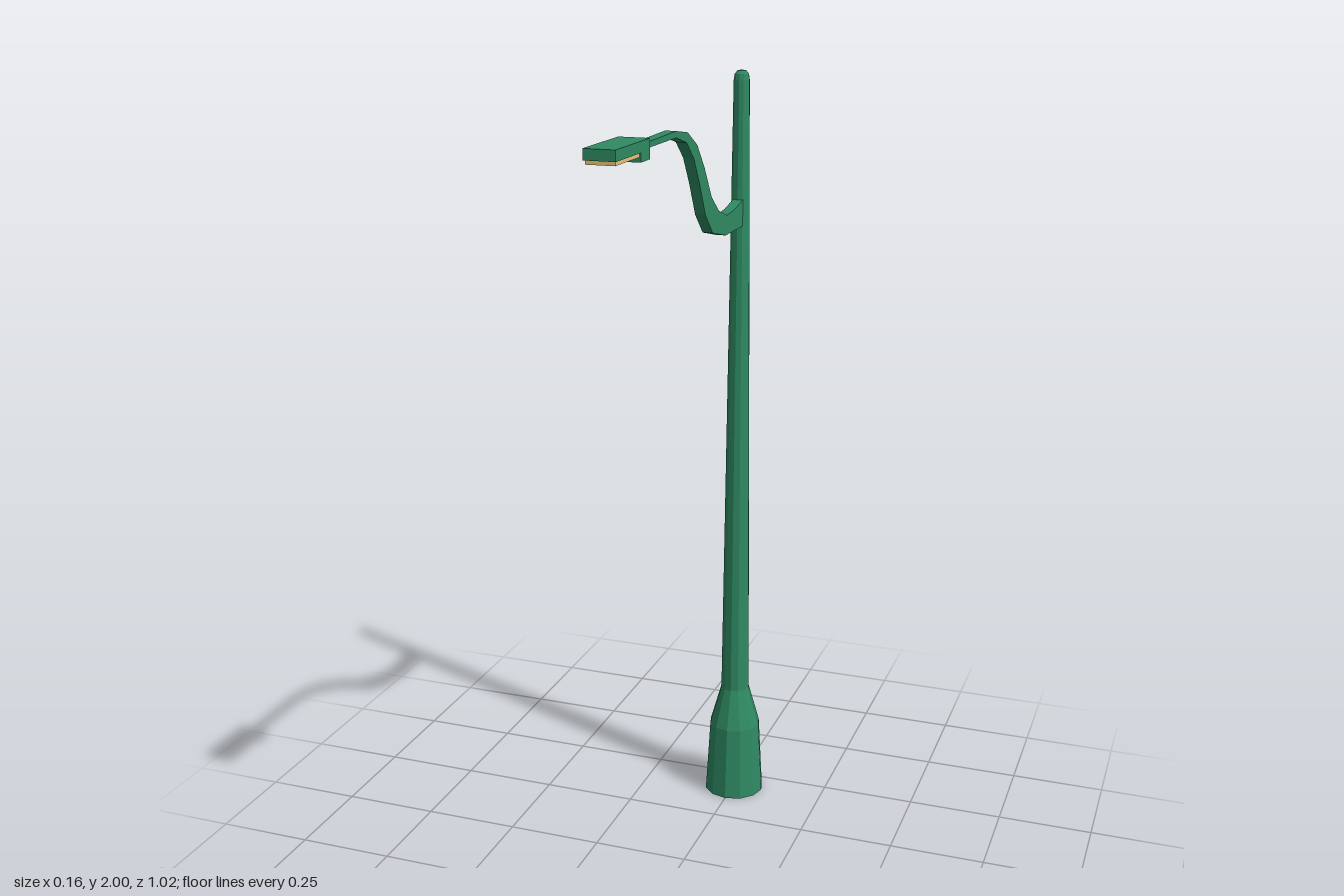
import * as THREE from 'three';

const green = new THREE.MeshStandardMaterial({ color: 0x2f8a63, side: THREE.DoubleSide });
green.name = 'green paint';
const amber = new THREE.MeshStandardMaterial({ color: 0xe6c47c });
amber.name = 'warm lamp glass';

const POLE_Z = -0.428;

// Faceted normals for the low-poly look
function faceted(geometry) {
  const flat = geometry.index ? geometry.toNonIndexed() : geometry;
  flat.computeVertexNormals();
  return flat;
}

function part(name, geometry, material) {
  const mesh = new THREE.Mesh(faceted(geometry), material);
  mesh.name = name;
  return mesh;
}

// Box given by its width and its z and y ranges
function box(name, width, [z0, z1], [y0, y1], material) {
  const mesh = part(name, new THREE.BoxGeometry(width, y1 - y0, z1 - z0), material);
  mesh.position.set(0, (y0 + y1) / 2, (z0 + z1) / 2);
  return mesh;
}

export function createModel() {
  const model = new THREE.Group();
  model.name = 'streetLamp';

  // Tapered pole with a flared foot, open below, domed on top
  const profile = [
    [0.082, 0], [0.07, 0.205], [0.039, 0.315], [0.0205, 1.975],
    [0.018, 1.99], [0.011, 1.998], [0, 2],
  ].map(([r, y]) => new THREE.Vector2(r, y));
  const pole = part('pole', new THREE.LatheGeometry(profile, 12), green);
  pole.position.z = POLE_Z;
  model.add(pole);

  // S-curved arm: upper and lower edges as [z, y], thinning towards the lamp
  const upper = [
    [-0.42, 1.684], [-0.34, 1.668], [-0.28, 1.663], [-0.215, 1.685], [-0.16, 1.727],
    [-0.108, 1.802], [-0.055, 1.862], [0.012, 1.899], [0.09, 1.911], [0.33, 1.908],
  ];
  const lower = [
    [-0.42, 1.615], [-0.27, 1.615], [-0.17, 1.638], [-0.115, 1.69],
    [-0.072, 1.77], [-0.03, 1.835], [0.02, 1.877], [0.09, 1.896], [0.33, 1.896],
  ];
  const outline = [...lower, ...upper.reverse()].map(([z, y]) => new THREE.Vector2(z, y));
  const armWidth = 0.026;
  const armGeometry = new THREE.ExtrudeGeometry(new THREE.Shape(outline), { depth: armWidth, bevelEnabled: false });
  armGeometry.translate(0, 0, -armWidth / 2).rotateY(-Math.PI / 2);
  model.add(part('arm', armGeometry, green));

  // Lamp head: mounting block, flat housing and the glass underneath
  const head = new THREE.Group();
  head.name = 'lampHead';
  head.add(
    box('mountingBlock', 0.072, [0.315, 0.37], [1.88, 1.924], green),
    box('housing', 0.072, [0.37, 0.51], [1.9, 1.924], green),
    box('lampGlass', 0.066, [0.37, 0.505], [1.891, 1.9], amber),
  );
  model.add(head);

  return model;
}
